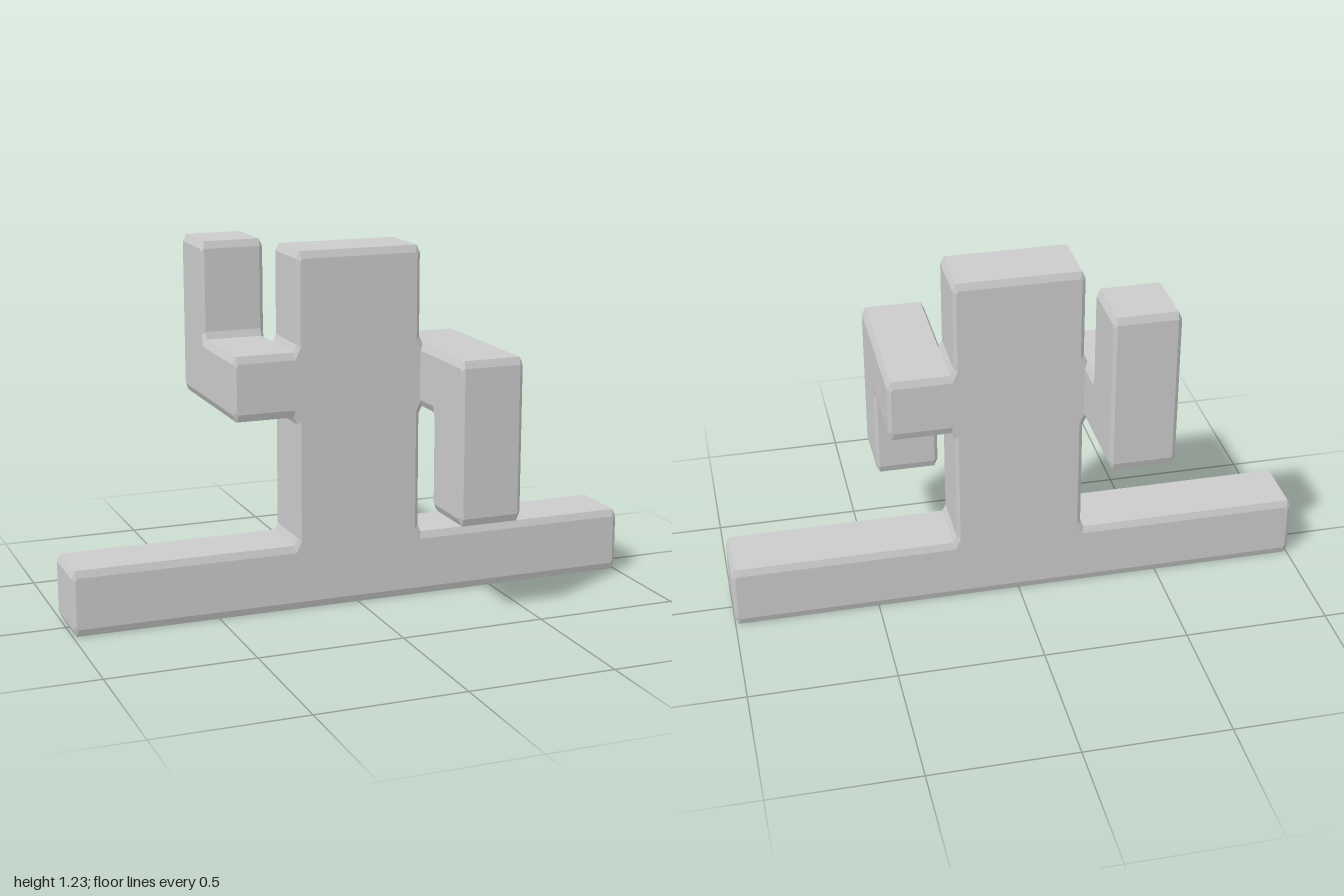
import * as THREE from 'three';

const material = new THREE.MeshStandardMaterial({ color: 0xcccccc, flatShading: true });
const CHAMFER_Y = 0.025; // chamfers are taller than they are wide

// Cut every corner of a right-angled outline, convex or concave.
function chamfered(points, cut) {
  const out = [];
  points.forEach((p, i) => {
    const n = points.length;
    for (const q of [points[(i + n - 1) % n], points[(i + 1) % n]]) {
      const dx = q[0] - p[0], dy = q[1] - p[1], len = Math.hypot(dx, dy);
      out.push(new THREE.Vector2(p[0] + dx / len * cut, p[1] + dy / len * cut));
    }
  });
  return out;
}

// Beveled prism: outline in (u, y), running from w0 to w1 along the third axis.
function prism(points, cutU, cutW, w0, w1) {
  const stretch = CHAMFER_Y / cutU;
  const flat = points.map(([u, y]) => [u, y / stretch]);
  const geometry = new THREE.ExtrudeGeometry(new THREE.Shape(chamfered(flat, cutU)), {
    depth: w1 - w0 - 2 * cutW,
    bevelEnabled: true, bevelSegments: 1,
    bevelSize: cutU, bevelOffset: -cutU, bevelThickness: cutW,
  });
  return geometry.translate(0, 0, w0 + cutW).scale(1, stretch, 1);
}

export function createModel() {
  const group = new THREE.Group();
  const add = (name, geometry) => {
    const mesh = new THREE.Mesh(geometry, material);
    mesh.name = name;
    group.add(mesh);
  };

  // Base bar, trunk and shoulders as one outline
  const half = [[1, 0], [1, 0.225], [0.22, 0.225], [0.22, 0.67], [0.443, 0.67],
    [0.443, 0.89], [0.22, 0.89], [0.22, 1.225]];
  const mirrored = half.map(([x, y]) => [-x, y]).reverse();
  add('body', prism([...half, ...mirrored], 0.012, 0.008, -0.11, 0.11));

  // Arms: outlines in (-z, y), turned so that they run across x
  const leftArm = [[0, 0.89], [-0.445, 0.89], [-0.445, 0.335],
    [-0.225, 0.335], [-0.225, 0.67], [0, 0.67]];
  const rightArm = [[0, 0.67], [0.445, 0.67], [0.445, 1.225],
    [0.225, 1.225], [0.225, 0.89], [0, 0.89]];
  add('leftArm', prism(leftArm, 0.008, 0.012, 0.222, 0.443).rotateY(Math.PI / 2));
  add('rightArm', prism(rightArm, 0.008, 0.012, -0.443, -0.222).rotateY(Math.PI / 2));

  return group;
}
